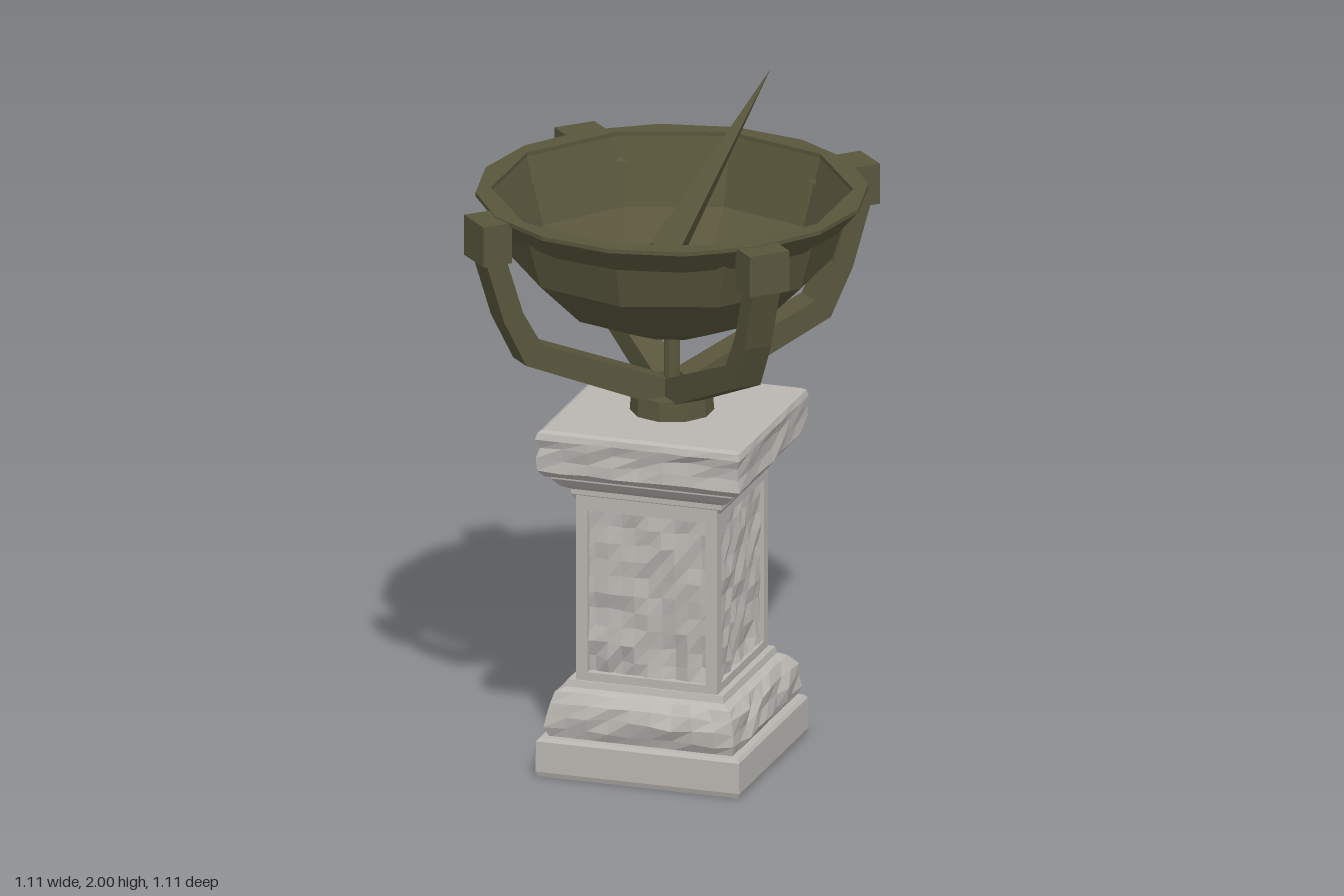
import * as THREE from 'three';
import { ConvexGeometry } from 'three/addons/geometries/ConvexGeometry.js';

export function createModel() {
  const bronze = new THREE.MeshStandardMaterial({ color: 0x59563c, flatShading: true, side: THREE.DoubleSide });
  bronze.name = 'aged bronze';
  const stone = new THREE.MeshStandardMaterial({ color: 0xbab7b2, flatShading: true });
  stone.name = 'grey stone';

  let seed = 7;
  const rand = () => {
    seed = (seed * 16807) % 2147483647;
    return seed / 2147483647 - 0.5;
  };

  const root = new THREE.Group();
  root.name = 'sundial';
  const add = (name, geometry, material, parent = root) => {
    const mesh = new THREE.Mesh(geometry, material);
    mesh.name = name;
    parent.add(mesh);
    return mesh;
  };

  // Square stack of rows [half width, y, roughness], n vertices per side
  function squareLoft(rows, n) {
    const pos = [], index = [], count = 4 * n;
    for (const [half, y, rough] of rows) {
      for (let i = 0; i < count; i++) {
        const side = Math.floor(i / n), t = (i % n) / n * 2 - 1;
        const a = side * Math.PI / 2, c = Math.round(Math.cos(a)), s = Math.round(Math.sin(a));
        const h = half + rand() * rough, u = t * (t === -1 ? h : half);
        pos.push(u * c + h * s, y + rand() * rough * 0.6, h * c - u * s);
      }
    }
    for (let r = 0; r < rows.length - 1; r++) {
      for (let i = 0; i < count; i++) {
        const j = (i + 1) % count;
        const a = r * count + i, b = r * count + j, c = a + count, d = b + count;
        index.push(a, b, d, a, d, c);
      }
    }
    const g = new THREE.BufferGeometry();
    g.setAttribute('position', new THREE.Float32BufferAttribute(pos, 3));
    g.setIndex(index);
    g.computeVertexNormals();
    return g;
  }

  // Pedestal
  add('plinth', squareLoft([[0, 0, 0], [0.3, 0, 0], [0.305, 0.015, 0], [0.303, 0.105, 0], [0.295, 0.115, 0], [0, 0.115, 0]], 1), stone);
  add('chiselledBase', squareLoft([
    [0.272, 0.11, 0], [0.285, 0.14, 0.014], [0.285, 0.18, 0.02], [0.275, 0.215, 0.022],
    [0.255, 0.245, 0.014], [0.235, 0.255, 0], [0.23, 0.275, 0], [0, 0.275, 0]], 9), stone);

  const shaft = new THREE.Group();
  shaft.name = 'shaft';
  shaft.scale.z = 1.06;
  root.add(shaft);
  const coreRows = [[0.2, 0.26, 0]];
  for (let i = 0; i < 11; i++) coreRows.push([0.198, 0.29 + i * 0.05, i < 3 ? 0.024 : 0.014]);
  coreRows.push([0.198, 0.83, 0]);
  add('roughPanels', squareLoft(coreRows, 10), stone, shaft);
  const rect = (shape, w, y0, y1) => shape.moveTo(-w, y0).lineTo(w, y0).lineTo(w, y1).lineTo(-w, y1).closePath();
  for (let i = 0; i < 4; i++) {
    const shape = rect(new THREE.Shape(), 0.211, 0.265, 0.83);
    shape.holes.push(rect(new THREE.Path(), 0.176, 0.3, 0.785));
    const frame = new THREE.ExtrudeGeometry(shape, { depth: 0.025, bevelEnabled: false });
    frame.translate(0, 0, 0.186);
    add('panelFrame', frame, stone, shaft).rotation.y = i * Math.PI / 2;
  }

  add('cornice', squareLoft([
    [0, 0.815, 0], [0.217, 0.815, 0], [0.225, 0.83, 0], [0.225, 0.845, 0], [0.25, 0.86, 0],
    [0.27, 0.885, 0], [0.27, 0.905, 0], [0, 0.905, 0]], 1), stone);
  add('capstone', squareLoft([
    [0, 0.895, 0], [0.285, 0.895, 0], [0.303, 0.915, 0.008], [0.3, 0.95, 0.016], [0.3, 0.985, 0.016],
    [0.305, 1.01, 0.004], [0.3, 1.028, 0], [0.288, 1.035, 0], [0, 1.035, 0]], 8), stone);

  // Hub and stem under the bowl
  add('hub', new THREE.CylinderGeometry(0.115, 0.12, 0.06, 10).translate(0, 1.062, 0), bronze);
  add('stem', new THREE.CylinderGeometry(0.024, 0.024, 0.2, 8).translate(0, 1.18, 0), bronze);

  // Faceted bowl with a flat rim
  const v2 = (x, y) => new THREE.Vector2(x, y);
  add('bowl', new THREE.LatheGeometry([
    v2(0, 1.27), v2(0.13, 1.285), v2(0.32, 1.36), v2(0.455, 1.49), v2(0.515, 1.688)], 10), bronze);
  const ring = (n, r) => Array.from({ length: n }, (_, i) => {
    const a = i / n * Math.PI * 2;
    return v2(Math.sin(a) * r, -Math.cos(a) * r);
  });
  const rimShape = new THREE.Shape(ring(16, 0.557));
  rimShape.holes.push(new THREE.Path(ring(10, 0.513)));
  const rim = new THREE.ExtrudeGeometry(rimShape, { depth: 0.012, bevelEnabled: false });
  add('rim', rim.rotateX(-Math.PI / 2).translate(0, 1.684, 0), bronze);
  add('rimUnderside', new THREE.CylinderGeometry(0.555, 0.495, 0.07, 16, 1, true).translate(0, 1.649, 0), bronze);

  // Four bent arms on the diagonals, each holding the rim with a block
  const armShape = new THREE.Shape([
    v2(0.03, 1.075), v2(0.1, 1.085), v2(0.48, 1.25), v2(0.55, 1.39), v2(0.615, 1.6),
    v2(0.55, 1.6), v2(0.49, 1.41), v2(0.43, 1.305), v2(0.03, 1.14)]);
  const armGeometry = new THREE.ExtrudeGeometry(armShape, { depth: 0.085, bevelEnabled: false });
  armGeometry.translate(0, 0, -0.0425);
  const blockGeometry = new THREE.BoxGeometry(0.09, 0.12, 0.125).translate(0.58, 1.633, 0);
  for (let i = 0; i < 4; i++) {
    const arm = new THREE.Group();
    arm.name = 'supportArm';
    arm.rotation.y = Math.PI / 4 + i * Math.PI / 2;
    add('bentArm', armGeometry, bronze, arm);
    add('rimBlock', blockGeometry, bronze, arm);
    root.add(arm);
  }

  // Slanted pointer
  const v3 = (x, y, z) => new THREE.Vector3(x, y, z);
  add('pointer', new ConvexGeometry([
    v3(0.215, 2, -0.23), v3(-0.125, 1.4, -0.01), v3(-0.05, 1.54, 0.035), v3(0.03, 1.51, 0.05), v3(0, 1.42, 0)]), bronze);

  return root;
}
